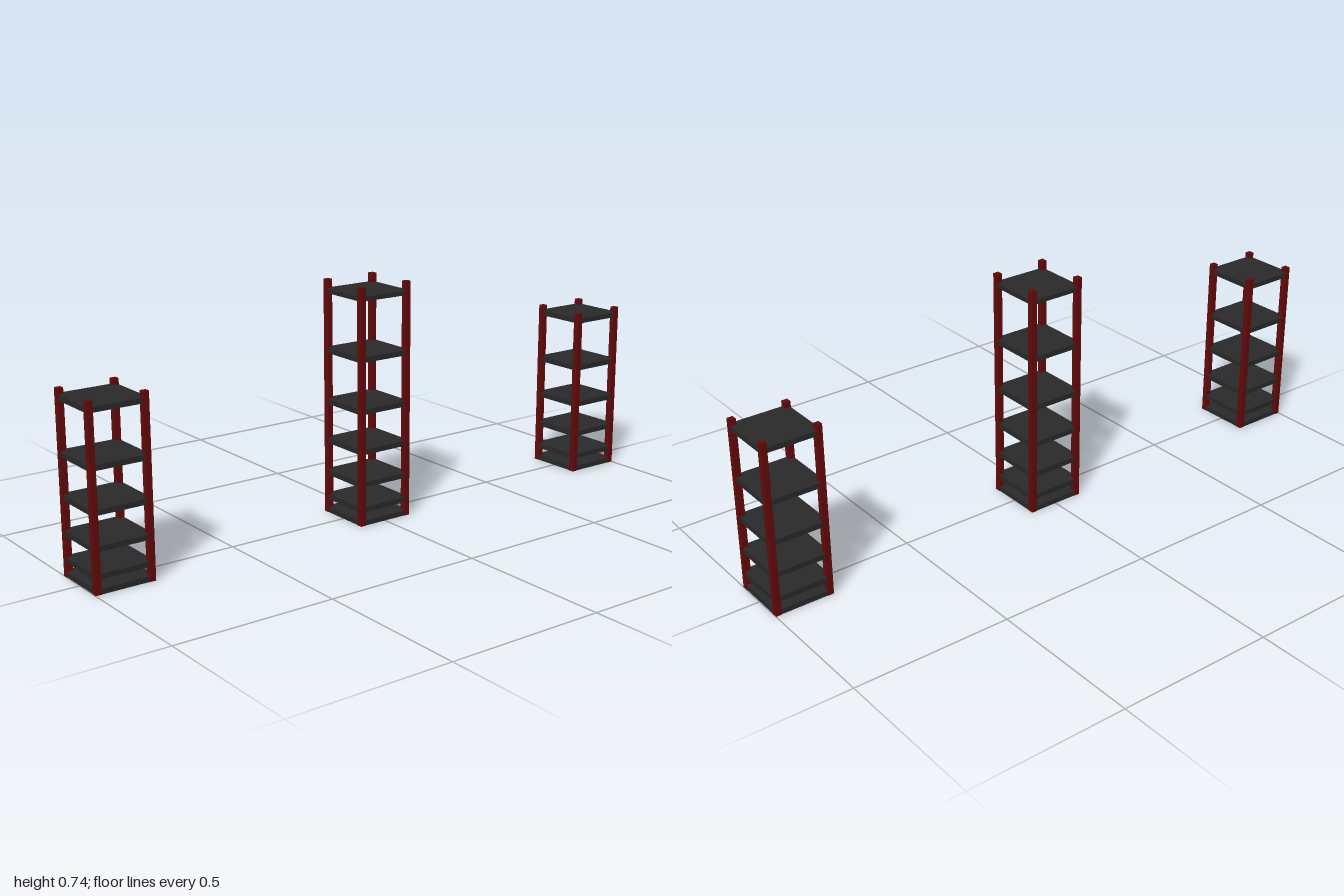
import * as THREE from 'three';

const HALF = 0.094;      // half the footprint of a tower
const POST = 0.0187;     // post thickness
const SHELF = 0.0165;    // shelf thickness
const SPACING = 0.906;   // distance between tower centres
const SHELF_TOPS = [0.0165, 0.06, 0.14, 0.244, 0.37, 0.5315, 0.7155];

const postMaterial = new THREE.MeshStandardMaterial({ color: 0x660a0a });
const shelfMaterial = new THREE.MeshStandardMaterial({ color: 0x2a2a2a });

function addBox(parent, name, size, position, material) {
  const mesh = new THREE.Mesh(new THREE.BoxGeometry(...size), material);
  mesh.name = name;
  mesh.position.set(...position);
  parent.add(mesh);
}

// Open shelf tower: four corner posts and shelves whose gaps grow upwards
function createTower(name, height, shelfCount) {
  const tower = new THREE.Group();
  tower.name = name;

  const offset = HALF - POST / 2;
  for (const x of [-offset, offset]) {
    for (const z of [-offset, offset]) {
      addBox(tower, 'cornerPost', [POST, height, POST], [x, height / 2, z], postMaterial);
    }
  }

  // Shelves sit a hair inside the outer faces of the posts
  const width = 2 * HALF - 0.003;
  SHELF_TOPS.slice(0, shelfCount).forEach((top, i) => {
    const thickness = i === 6 ? 0.014 : SHELF;
    addBox(tower, 'shelf', [width, thickness, width], [0, top - thickness / 2, 0], shelfMaterial);
  });
  return tower;
}

export function createModel() {
  const model = new THREE.Group();
  model.name = 'shelfTowers';

  // Tall tower in the middle, a shorter one in front and behind
  model.add(createTower('middleTower', 0.744, 7));
  for (const side of [1, -1]) {
    const tower = createTower(side > 0 ? 'frontTower' : 'backTower', 0.549, 6);
    tower.position.z = side * SPACING;
    model.add(tower);
  }
  return model;
}
